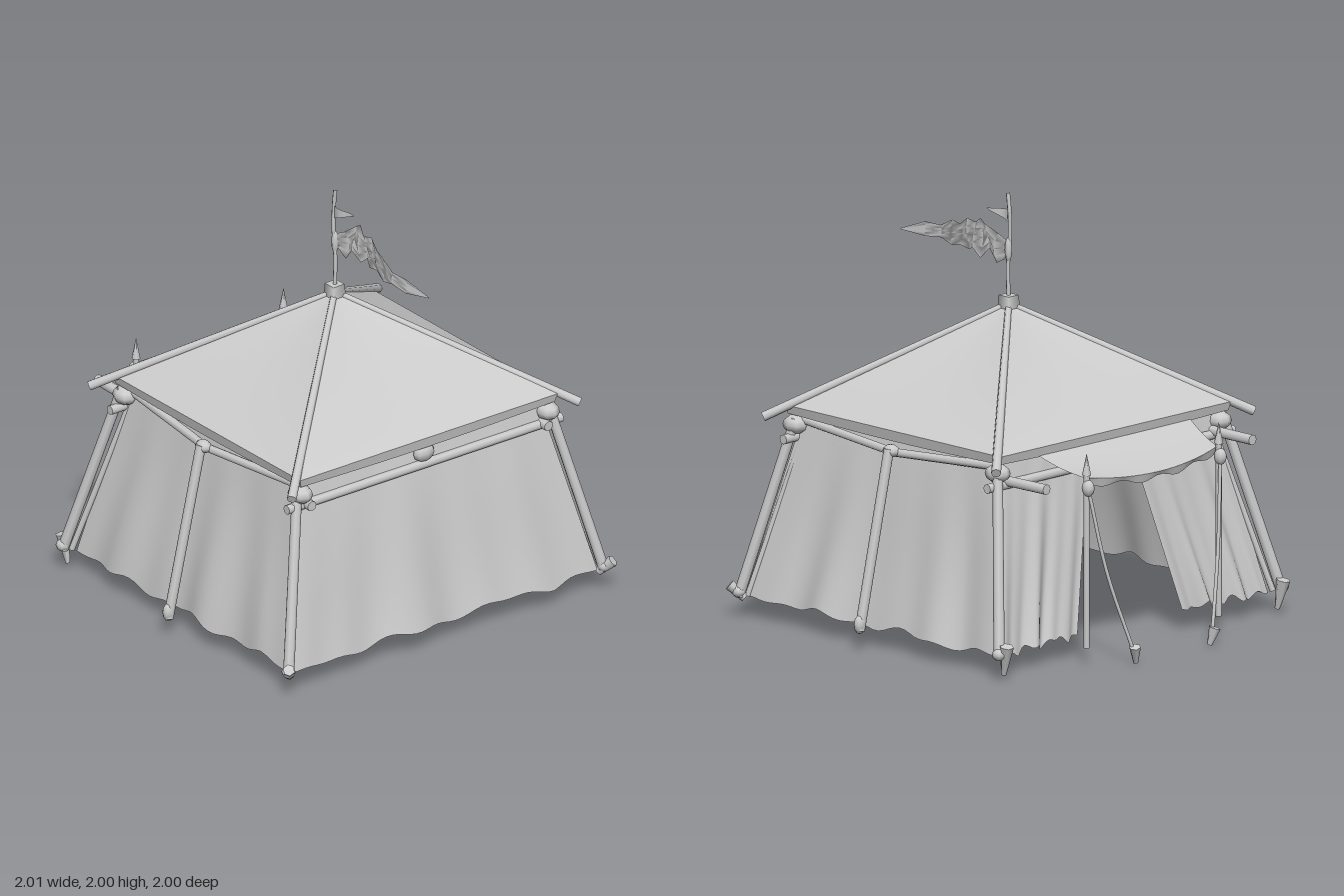
import * as THREE from 'three';
import { ParametricGeometry } from 'three/addons/geometries/ParametricGeometry.js';

const CX = 0.11; // the tent body is centred here, the awning hangs off the -x side
const wood = new THREE.MeshStandardMaterial({ color: 0xcccccc });
const cloth = new THREE.MeshStandardMaterial({ color: 0xcccccc, side: THREE.DoubleSide });
const V = (x, y, z) => new THREE.Vector3(x, y, z);
const lerp = THREE.MathUtils.lerp;

export function createModel() {
  const model = new THREE.Group();

  const add = (name, geometry, material = wood, position) => {
    const mesh = new THREE.Mesh(geometry, material);
    mesh.name = name;
    if (position) mesh.position.copy(position);
    model.add(mesh);
    return mesh;
  };

  // straight round pole from a to b
  const pole = (name, a, b, rA, rB = rA, sides = 8) => {
    const dir = b.clone().sub(a);
    const mesh = add(name, new THREE.CylinderGeometry(rB, rA, dir.length(), sides), wood, a.clone().lerp(b, 0.5));
    mesh.quaternion.setFromUnitVectors(V(0, 1, 0), dir.normalize());
  };

  // lumpy rope binding
  const knot = (name, p, sx, sy, sz) =>
    add(name, new THREE.SphereGeometry(1, 8, 6), wood, p).scale.set(sx, sy, sz);

  const sheet = (name, fn, nu, nv) => add(name, new ParametricGeometry(fn, nu, nv), cloth);

  // ---- Roof: four slightly sagging panels, each with a short valance ----
  const apex = V(CX, 1.48, 0);
  const eave = [V(0.82, 1.0, 0.75), V(0.82, 1.0, -0.75), V(-0.59, 1.0, -0.75), V(-0.59, 1.0, 0.75)];
  eave.forEach((a, i) => {
    const b = eave[(i + 1) % 4];
    sheet('roofPanel', (u, v, t) => {
      t.lerpVectors(a, b, u).lerp(apex, v);
      t.y -= 0.015 * Math.sin(Math.PI * u) * Math.sin(Math.PI * v);
    }, 10, 10);
    sheet('valance', (u, v, t) => {
      t.lerpVectors(a, b, u);
      t.x = lerp(t.x, CX, 0.012 * (1 - v));
      t.z *= 1 - 0.012 * (1 - v);
      t.y -= (1 - v) * (0.04 + 0.012 * Math.sin(Math.PI * u));
    }, 12, 2);
  });
  const cap = add('roofCap', new THREE.CylinderGeometry(0.046, 0.052, 0.06, 4), wood, V(CX, 1.485, 0));
  cap.rotation.y = Math.PI / 4;
  pole('centrePole', V(CX, 0.08, 0), V(CX, 1.47, 0), 0.022);

  // ---- Corner frame: hip poles, splayed legs, bindings and pegs ----
  for (const sz of [1, -1]) {
    for (const left of [1, -1]) {
      const far = left > 0;
      pole('hipPole', V(CX, 1.475, 0), V(far ? 0.87 : -0.65, 0.95, 0.84 * sz), 0.015, 0.023);
      const top = V(far ? 0.77 : -0.55, 0.94, 0.73 * sz);
      const foot = V(far ? 0.95 : -0.75, 0.1, 0.92 * sz);
      pole('cornerLeg', foot, top, 0.026, 0.024);
      pole('cornerBrace', foot.clone().add(V(-0.03 * left, 0, -0.03 * sz)),
        top.clone().add(V(-0.03 * left, -0.04, -0.04 * sz)), 0.014);
      knot('cornerBinding', V(far ? 0.78 : -0.54, 0.91, 0.72 * sz), 0.065, 0.045, 0.055);
      knot('legBinding', foot.clone().add(V(0, 0.02, 0)), 0.033, 0.03, 0.033);
      if (far) pole('cornerPeg', V(0.93, 0.09, 0.9 * sz), V(0.985, 0.15, 0.945 * sz), 0.022, 0.028, 6);
      else pole('cornerPeg', V(-0.75, 0.02, 0.89 * sz), V(-0.78, 0.16, 0.9 * sz), 0.012, 0.034, 6);
    }

    // middle leg and its two bent rails on the long sides
    pole('middleLeg', V(CX, 0.09, 0.97 * sz), V(CX, 0.92, 0.78 * sz), 0.024);
    knot('middleLegFoot', V(CX, 0.12, 0.97 * sz), 0.025, 0.045, 0.03);
    knot('middleLegBinding', V(CX, 0.91, 0.765 * sz), 0.045, 0.03, 0.035);
    pole('upperRail', V(CX, 0.9, 0.75 * sz), V(0.76, 0.935, 0.7 * sz), 0.02);
    pole('upperRail', V(CX, 0.9, 0.75 * sz), V(-0.53, 0.935, 0.7 * sz), 0.02);
    pole('longBeam', V(-0.81, 0.87, 0.67 * sz), V(0.83, 0.855, 0.69 * sz), 0.025);
  }
  for (const x of [0.78, -0.55]) {
    pole('crossBeam', V(x, 0.85, -0.8), V(x, 0.85, 0.8), 0.023);
    knot('crossBinding', V(x, 0.91, 0), 0.035, 0.045, 0.06);
  }

  // ---- Cloth walls: folds deepen and the hem turns ragged towards the ground ----
  const wall = (name, tA, tB, bA, bB, seed, folds = 1) => {
    const out = tB.clone().sub(tA).cross(V(0, 1, 0)).normalize();
    const a = V(), b = V();
    sheet(name, (u, v, t) => {
      a.lerpVectors(tA, tB, u);
      b.lerpVectors(bA, bB, u);
      t.lerpVectors(b, a, v);
      const w = 1 - v, pin = Math.min(1, 8 * u * (1 - u));
      const wave = Math.sin(u * 17 * folds + seed) + 0.7 * Math.sin(u * 29 * folds + seed * 2.3);
      t.addScaledVector(out, pin * w * (0.014 * wave + 0.006 * Math.sin(w * 5 + seed)));
      t.y += pin * w * w * (0.014 * Math.sin(u * 19 + seed) + 0.01 * Math.sin(u * 41 + seed));
    }, 48, 10);
  };
  const tops = [V(0.755, 0.96, 0.69), V(0.755, 0.96, -0.69), V(-0.525, 0.96, -0.69), V(-0.525, 0.96, 0.69)];
  const hems = [V(0.94, 0.1, 0.89), V(0.94, 0.1, -0.89), V(-0.71, 0.09, -0.87), V(-0.71, 0.09, 0.87)];
  wall('sideWall', tops[0], tops[1], hems[0], hems[1], 1);
  wall('backWall', tops[1], tops[2], hems[1], hems[2], 2.2);
  wall('frontWall', tops[3], tops[0], hems[3], hems[0], 4);
  // entrance curtains, drawn apart below the awning
  wall('curtain', tops[2], V(-0.535, 0.96, -0.12), hems[2], V(-0.68, 0.1, -0.34), 0.5);
  wall('curtain', V(-0.535, 0.96, 0.12), tops[3], V(-0.68, 0.1, 0.34), hems[3], 3);

  // ---- Awning over the entrance ----
  sheet('awning', (u, v, t) => {
    const s = 1 - u * 2, bow = 1 - s * s;
    t.set(lerp(-0.56, -0.82 - 0.05 * bow, v),
      lerp(0.97, 0.885 - 0.035 * bow, v) - 0.012 * Math.sin(Math.PI * v),
      s * lerp(0.5, 0.43, v));
  }, 16, 8);
  sheet('awningHem', (u, v, t) => {
    const s = 1 - u * 2, bow = 1 - s * s;
    t.set(-0.82 - 0.05 * bow + 0.01 * v, 0.885 - 0.035 * bow - v * (0.03 + 0.012 * Math.sin(u * 23)), s * 0.43);
  }, 24, 2);
  for (const sz of [1, -1]) {
    pole('awningPole', V(-0.83, 0.08, 0.43 * sz), V(-0.83, 0.92, 0.43 * sz), 0.014);
    pole('awningPoleTip', V(-0.83, 0.9, 0.43 * sz), V(-0.83, 1.0, 0.43 * sz), 0.022, 0.001, 6);
    knot('awningBinding', V(-0.84, 0.84, 0.43 * sz), 0.032, 0.04, 0.028);
    const rope = new THREE.CatmullRomCurve3([
      V(-0.84, 0.84, 0.43 * sz), V(-0.895, 0.43, 0.36 * sz), V(-0.96, 0.07, 0.26 * sz)]);
    add('guyRope', new THREE.TubeGeometry(rope, 10, 0.009, 5));
    pole('guyPeg', V(-0.96, 0.0, 0.24 * sz), V(-0.975, 0.08, 0.26 * sz), 0.012, 0.028, 6);
  }

  // ---- Flagpole, torn flag and small pennant ----
  const mast = new THREE.CatmullRomCurve3([
    V(CX, 1.49, 0), V(0.115, 1.65, 0), V(0.107, 1.8, 0.005), V(0.105, 1.92, 0), V(0.115, 2.0, 0)]);
  add('flagPole', new THREE.TubeGeometry(mast, 12, 0.01, 6));
  knot('flagBinding', V(0.112, 1.73, 0), 0.017, 0.06, 0.017);

  // x, top y, bottom y along the flag
  const profile = [[0.11, 1.77, 1.69], [0.17, 1.8, 1.66], [0.22, 1.84, 1.72], [0.26, 1.86, 1.67], [0.31, 1.83, 1.71],
    [0.36, 1.84, 1.69], [0.42, 1.8, 1.7], [0.5, 1.8, 1.68], [0.58, 1.76, 1.7], [0.68, 1.76, 1.69], [0.81, 1.71, 1.705]];
  sheet('flag', (u, v, t) => {
    const [x, hi, lo] = profile[Math.round(u * 10)];
    t.set(x, lerp(lo, hi, v), 0.03 * Math.sin(x * 9 + 2.4) + 0.02 * Math.sin(x * 38 - v * 4) * (1 - u));
  }, 10, 4);
  sheet('pennant', (u, v, t) => {
    t.set(0.1 + 0.14 * u, lerp(lerp(1.85, 1.905, u), lerp(1.92, 1.91, u), v), 0.012 * Math.sin(u * 5));
  }, 5, 2);

  return model;
}
